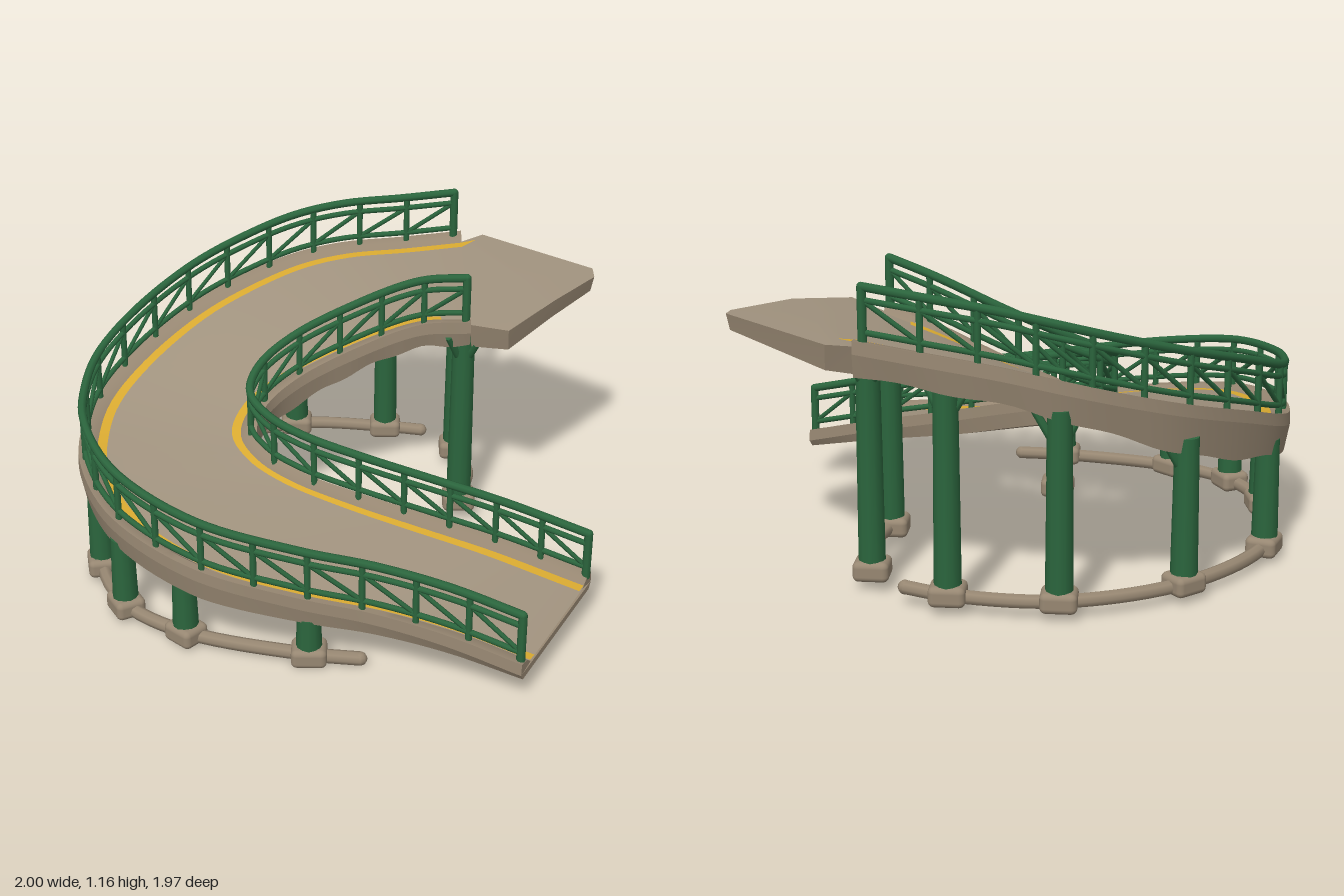
import * as THREE from 'three';
import { toCreasedNormals } from 'three/addons/utils/BufferGeometryUtils.js';
import { RoundedBoxGeometry } from 'three/addons/geometries/RoundedBoxGeometry.js';

const V = (x, y, z) => new THREE.Vector3(x, y, z);
const mat = (name, color) => new THREE.MeshStandardMaterial({ name, color });
const curveOf = (pts) => new THREE.CatmullRomCurve3(pts.map((p) => V(...p)), false, 'centripetal');

// Deck edges from the low end to the high end
const outer = curveOf([
  [0.66, 0.14, 0.968], [0.4, 0.19, 0.868], [0.14, 0.225, 0.792], [-0.13, 0.27, 0.767], [-0.5, 0.34, 0.69],
  [-0.8, 0.41, 0.475], [-0.95, 0.45, 0.17], [-0.975, 0.475, -0.05], [-0.945, 0.52, -0.27], [-0.815, 0.6, -0.5],
  [-0.605, 0.69, -0.735], [-0.4, 0.76, -0.865], [-0.2, 0.82, -0.94], [0, 0.865, -0.955], [0.25, 0.9, -0.935], [0.49, 0.935, -0.92],
]);
const inner = curveOf([
  [0.93, 0.17, 0.463], [0.62, 0.25, 0.375], [0.35, 0.31, 0.312], [0.09, 0.37, 0.256], [-0.13, 0.42, 0.188],
  [-0.26, 0.455, 0.105], [-0.335, 0.49, -0.02], [-0.3, 0.54, -0.155], [-0.18, 0.61, -0.25], [0.03, 0.71, -0.298],
  [0.3, 0.83, -0.285], [0.5, 0.885, -0.2],
]);

// Point on the deck: distance a inward from one edge, height dy above it
function onDeck(t, side, a, dy) {
  const o = outer.getPointAt(t), i = inner.getPointAt(t);
  const u = i.clone().sub(o).setY(0).normalize();
  const p = side === 0 ? o.addScaledVector(u, a) : i.addScaledVector(u, -a);
  p.y += dy;
  return p;
}

// Lofts a strip, or a closed four-cornered bar with end caps, through sections
function loft(section, n, closed) {
  const rows = [], out = [];
  for (let k = 0; k <= n; k++) rows.push(section(k / n));
  const tri = (...ps) => ps.forEach((p) => out.push(p.x, p.y, p.z));
  const m = rows[0].length;
  for (let k = 0; k < n; k++) {
    for (let j = 0; j < (closed ? m : m - 1); j++) {
      const a = rows[k][j], b = rows[k][(j + 1) % m], c = rows[k + 1][(j + 1) % m], d = rows[k + 1][j];
      tri(a, b, c);
      tri(a, c, d);
    }
  }
  if (closed) {
    const s = rows[0], e = rows[n];
    tri(s[0], s[2], s[1]); tri(s[0], s[3], s[2]);
    tri(e[0], e[1], e[2]); tri(e[0], e[2], e[3]);
  }
  const g = new THREE.BufferGeometry();
  g.setAttribute('position', new THREE.Float32BufferAttribute(out, 3));
  return toCreasedNormals(g, 0.6);
}

export function createModel() {
  const model = new THREE.Group();
  model.name = 'curvedRamp';
  const concrete = mat('concrete', 0x978772);
  const road = mat('roadSurface', 0xa0927e);
  const green = mat('greenPaint', 0x2b653d);
  const yellow = mat('yellowPaint', 0xd8a930);

  const add = (name, geo, material, parent = model) => {
    const mesh = new THREE.Mesh(geo, material);
    mesh.name = name;
    parent.add(mesh);
    return mesh;
  };
  const group = (name) => {
    const g = new THREE.Group();
    g.name = name;
    model.add(g);
    return g;
  };
  const rod = (name, a, b, r0, r1, sides, parent) => {
    const mesh = add(name, new THREE.CylinderGeometry(r1, r0, a.distanceTo(b), sides), green, parent);
    mesh.position.copy(a).lerp(b, 0.5);
    mesh.quaternion.setFromUnitVectors(V(0, 1, 0), b.clone().sub(a).normalize());
  };

  // Slab with a slightly uneven underside, sagging under the rear bend
  const N = 84;
  add('deckSlab', loft((t) => {
    const grow = Math.min(1, t * 3.5);
    const sag = Math.exp(-(((t - 0.68) / 0.12) ** 2));
    const bump = t > 0.45 ? 0.006 * Math.sin(t * 70) : 0;
    return [onDeck(t, 0, -0.008, -0.035 - 0.055 * grow - 0.06 * sag - bump), onDeck(t, 0, -0.025, -0.01),
      onDeck(t, 1, -0.025, -0.01), onDeck(t, 1, -0.008, -0.035 - 0.035 * grow - 0.025 * sag + bump)];
  }, N, true), concrete);
  add('roadway', loft((t) => [onDeck(t, 0, 0.02, 0.005), onDeck(t, 1, 0.02, 0.005)], N), road);

  // Kerbs with sloping inner faces, and painted edge lines
  const across = (side, offsets) => (t) => {
    const s = offsets.map(([a, dy]) => onDeck(t, side, a, dy));
    return side ? s.reverse() : s;
  };
  [0, 1].forEach((side) => {
    const label = side ? 'inner' : 'outer';
    const kerb = across(side, [[-0.025, -0.01], [-0.022, 0.036], [0.02, 0.03], [0.055, 0.004]]);
    add(label + 'Kerb', loft(kerb, N, true), concrete);
    const line = across(side, [[0.048, 0.013], [0.086, 0.011]]);
    add(label + 'EdgeLine', loft((t) => line(t * (side ? 0.955 : 1)), N), yellow);
  });

  // Upper landing, meeting the roadway along its end
  const top = [onDeck(1, 0, 0.02, 0.005), V(0.58, 0.955, -0.94), V(1, 0.963, -0.59), V(1, 0.958, -0.52),
    V(0.825, 0.952, -0.31), V(0.64, 0.915, -0.12), onDeck(1, 1, 0.02, 0.005)];
  const mid = V(0.7, 0.958, -0.53);
  const low = top.map((p) => p.clone().lerp(mid, 0.04).setY(p.y - 0.1 + 0.04 * (p.x - 0.48) / 0.52));
  const faces = (tris) => {
    const g = new THREE.BufferGeometry();
    g.setAttribute('position', new THREE.Float32BufferAttribute(tris.flatMap((p) => p.toArray()), 3));
    return toCreasedNormals(g, 0.6);
  };
  const topTris = [], bodyTris = [];
  const lowMid = V(0.7, 0.87, -0.53);
  top.forEach((a, i) => {
    const j = (i + 1) % top.length, b = top[j], c = low[j], d = low[i];
    topTris.push(mid, b, a);
    bodyTris.push(a, b, c, a, c, d, lowMid, d, c);
  });
  add('landingSurface', faces(topTris), road);
  add('landingBody', faces(bodyTris), concrete);
  // End of the outer line on the landing
  add('landingLine', faces([
    onDeck(1, 0, 0.048, 0.013), onDeck(1, 0, 0.086, 0.011), V(0.55, 0.96, -0.875),
  ]), yellow);

  // Railings: three tubes, posts and diagonal braces
  class Offset extends THREE.Curve {
    constructor(side, dy) { super(); this.side = side; this.dy = dy; }
    getPoint(t, target = V(0, 0, 0)) { return target.copy(onDeck(0.004 + t * 0.988, this.side, 0.004, this.dy)); }
  }
  [[0, 21, 0.22], [1, 14, 0.21]].forEach(([side, panels, h]) => {
    const rail = group(side ? 'innerRailing' : 'outerRailing');
    [[h, 0.016], [h - 0.045, 0.011], [0.065, 0.011]].forEach(([dy, r]) =>
      add('handrail', new THREE.TubeGeometry(new Offset(side, dy), 90, r, 8), green, rail));
    const at = (k, dy) => new Offset(side, dy).getPoint(k / panels);
    for (let k = 0; k <= panels; k++) {
      const end = k === 0 || k === panels;
      const post = end ? 0.016 : 0.012;
      rod('post', at(k, 0.02), at(k, h), post, post, 8, rail);
      if (end) add('railEnd', new THREE.SphereGeometry(0.016, 8, 6), green, rail).position.copy(at(k, h));
      if (k < panels) rod('brace', at(k, 0.065), at(k + 1, h - 0.045), 0.009, 0.009, 6, rail);
    }
  });

  // Pillars as [x, z, top height, base height]
  const ring = [
    [0.185, -0.9, 0.83, 0.07], [-0.2, -0.92, 0.75, 0.07], [-0.62, -0.71, 0.6, 0.065], [-0.91, -0.3, 0.47, 0.06],
    [-0.91, 0.18, 0.38, 0.055], [-0.79, 0.45, 0.34, 0.05], [-0.55, 0.62, 0.28, 0.045], [-0.095, 0.74, 0.2, 0.04],
  ];
  const landing = [[0.48, -0.71, 0.88, 0.075], [0.48, -0.28, 0.84, 0.08]];
  const supports = group('supports');
  [...ring, ...landing, [-0.1, 0.3, 0.36, 0.05]].forEach(([x, z, topY, y]) => {
    rod('pillar', V(x, y, z), V(x, topY, z), 0.049, 0.043, 12, supports);
    const foot = add('footing', new RoundedBoxGeometry(0.13, 0.075, 0.115, 3, 0.022), concrete, supports);
    foot.position.set(x, y, z);
    foot.rotation.y = Math.abs(x) < 0.5 ? 0 : -Math.atan2(z, x) + Math.PI / 2;
    // Branching struts on the tall pillars, kept beneath the deck
    if (topY > 0.59) {
      const spread = x > 0.4 ? [0.785, 2.356, 3.927, 5.498] : [-1.35, 0, 1.35];
      const inward = x > 0.4 ? 0 : Math.atan2(-z, -x);
      spread.forEach((s) => {
        const dx = 0.088 * Math.cos(inward + s), dz = 0.088 * Math.sin(inward + s);
        rod('strut', V(x, topY - 0.15, z), V(x + dx, topY - 0.005, z + dz), 0.018, 0.013, 6, supports);
      });
    }
  });

  // Rounded ground beams joining the footings
  const beam = (name, pts) => {
    const c = curveOf(pts);
    add(name, new THREE.TubeGeometry(c, 60, 0.026, 8), concrete, supports);
    [0, 1].forEach((t) => add(name + 'End', new THREE.SphereGeometry(0.026, 8, 6), concrete, supports)
      .position.copy(c.getPoint(t)));
  };
  beam('ringBeam', [[0.34, 0.07, -0.86], ...ring.map((p) => [p[0], p[3] - 0.007, p[1]]), [0.09, 0.03, 0.76]]);
  beam('landingBeam', [[0.48, 0.07, -0.71], [0.525, 0.073, -0.5], [0.48, 0.08, -0.28]]);
  return model;
}
